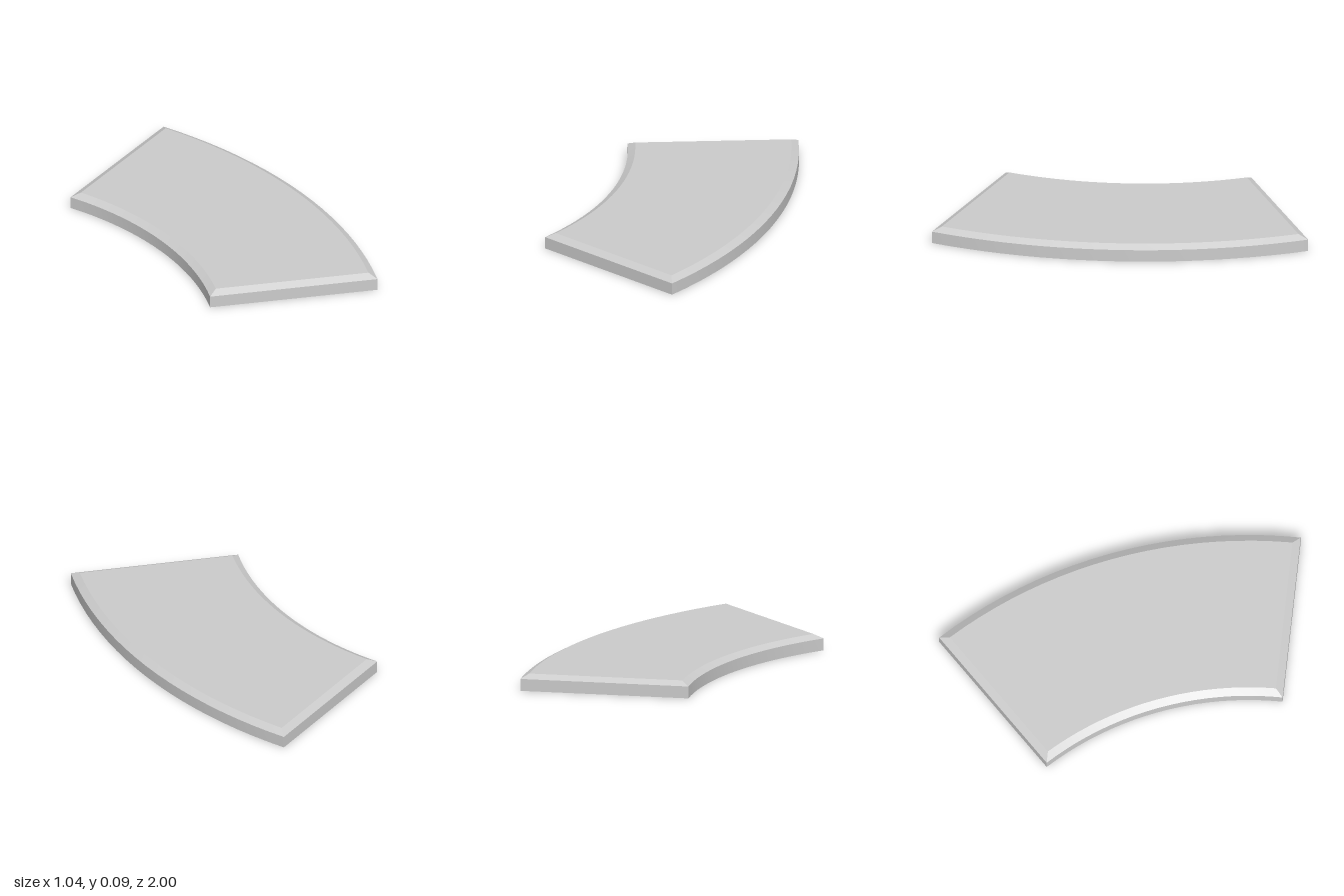
import * as THREE from 'three';

// Plan of the curved slab: a ring sector around a far pivot
const PIVOT = { x: -2.093, z: 0.017 };
const R_IN = 1.705, R_OUT = 2.613;
const A_START = -THREE.MathUtils.degToRad(22.9), A_END = THREE.MathUtils.degToRad(22.1);
const WALL_H = 0.065, TOP_H = 0.087, BEVEL = 0.04, SEGMENTS = 20;

// Arc at radius r and height y, shortened by a straight inset at both ends
const arc = (r, y, inset = 0) => (t) => {
  const cut = Math.asin(inset / r);
  const a = THREE.MathUtils.lerp(A_START + cut, A_END - cut, t);
  return new THREE.Vector3(PIVOT.x + r * Math.cos(a), y, PIVOT.z + r * Math.sin(a));
};

// Straight line joining the same end (0 or 1) of two arcs
const line = (a, b, end) => (t) => a(end).lerp(b(end), t);

// Ruled surface between two curves
function sheet(p, q, n) {
  const positions = [], index = [];
  for (let i = 0; i <= n; i++) {
    positions.push(...p(i / n).toArray(), ...q(i / n).toArray());
    if (i < n) {
      const k = i * 2;
      index.push(k, k + 1, k + 3, k, k + 3, k + 2);
    }
  }
  const g = new THREE.BufferGeometry();
  g.setAttribute('position', new THREE.Float32BufferAttribute(positions, 3));
  g.setIndex(index);
  g.computeVertexNormals();
  return g;
}

export function createModel() {
  const group = new THREE.Group();
  group.name = 'curvedSlab';
  const material = new THREE.MeshStandardMaterial({ color: 0xcccccc, side: THREE.DoubleSide });
  const add = (name, p, q, n = SEGMENTS) => {
    const mesh = new THREE.Mesh(sheet(p, q, n), material);
    mesh.name = name;
    group.add(mesh);
  };

  // Inner and outer rails at foot, shoulder and top edge
  const levels = [
    { inner: arc(R_IN, 0), outer: arc(R_OUT, 0) },
    { inner: arc(R_IN, WALL_H), outer: arc(R_OUT, WALL_H) },
    { inner: arc(R_IN + BEVEL, TOP_H, BEVEL), outer: arc(R_OUT - BEVEL, TOP_H, BEVEL) },
  ];

  // Walls, then bevels, around all four sides; the underside stays open
  ['Wall', 'Bevel'].forEach((part, i) => {
    const lo = levels[i], hi = levels[i + 1];
    add('outer' + part, lo.outer, hi.outer);
    add('inner' + part, hi.inner, lo.inner);
    add('back' + part, line(lo.inner, lo.outer, 0), line(hi.inner, hi.outer, 0), 1);
    add('front' + part, line(hi.inner, hi.outer, 1), line(lo.inner, lo.outer, 1), 1);
  });

  // Flat top
  add('topSurface', levels[2].outer, levels[2].inner);

  // Thin edge strips lying on the top
  const y = TOP_H + 0.001, gap = 0.075, width = 0.055, endGap = 0.08;
  const strip = (name, r) => add(name, arc(r + width, y, endGap), arc(r, y, endGap));
  strip('innerStrip', R_IN + gap);
  strip('outerStrip', R_OUT - gap - width);

  return group;
}
